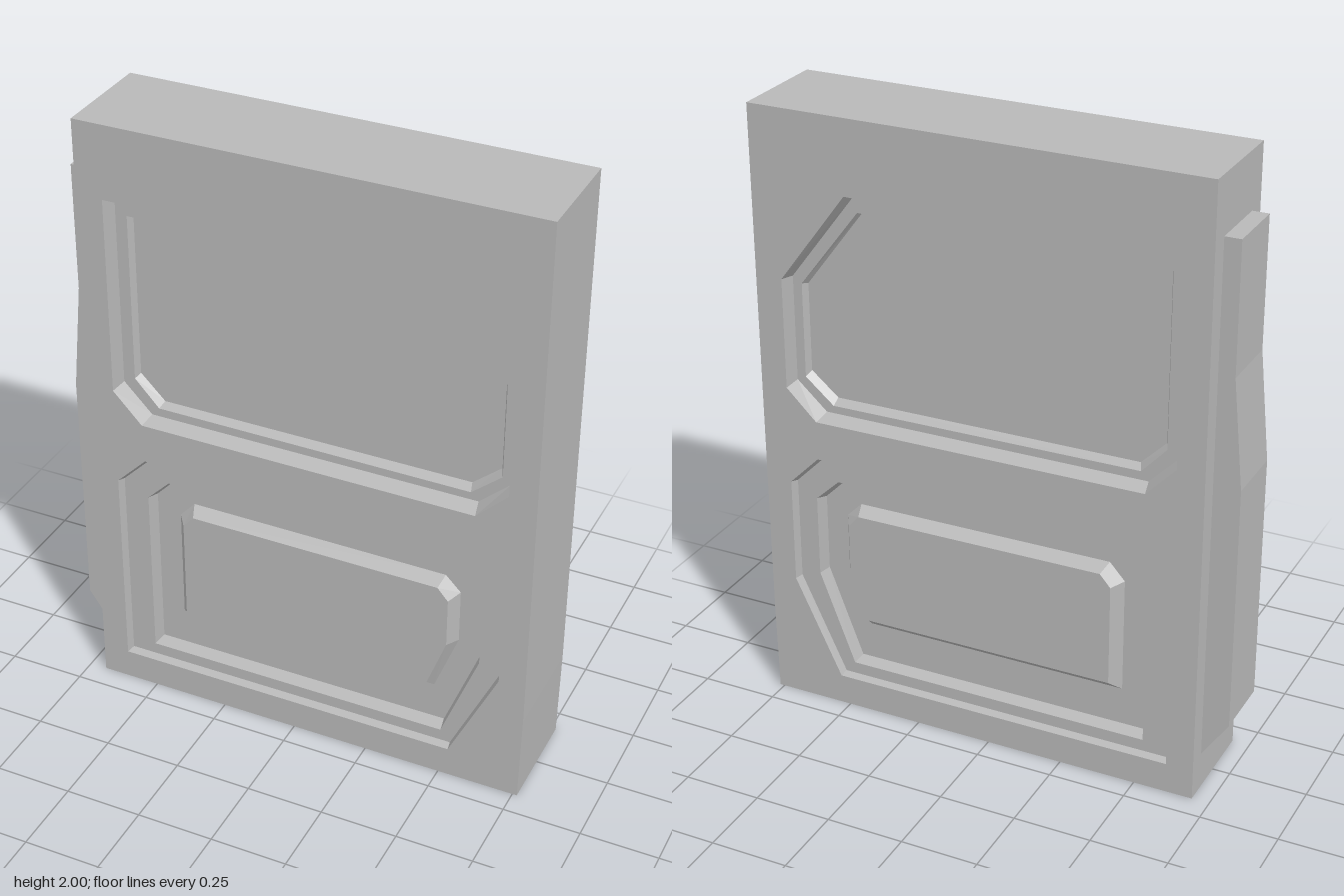
import * as THREE from 'three';

const HALF = 0.173; // half thickness of the door

// Triangles joining two outlines of equal length (corners run anticlockwise)
function band(a, za, b, zb) {
  const out = [];
  a.forEach((p, i) => {
    const j = (i + 1) % a.length;
    const A = [...p, za], B = [...a[j], za], C = [...b[j], zb], D = [...b[i], zb];
    out.push(A, B, C, A, C, D);
  });
  return out;
}

// Flat filled outline, with optional holes, facing +z
function cap(outline, z, holes = []) {
  const vec = (pts) => pts.map(([x, y]) => new THREE.Vector2(x, y));
  const all = [outline, ...holes].flat();
  const faces = THREE.ShapeUtils.triangulateShape(vec(outline), holes.map((h) => vec([...h].reverse())));
  const ordered = [outline, ...holes.map((h) => [...h].reverse())].flat();
  const out = [];
  for (const [i, j, k] of faces) {
    const [p, q, r] = [ordered[i], ordered[j], ordered[k]];
    const area = (q[0] - p[0]) * (r[1] - p[1]) - (q[1] - p[1]) * (r[0] - p[0]);
    for (const v of area > 0 ? [p, q, r] : [p, r, q]) out.push([...v, z]);
  }
  return all.length ? out : [];
}

// Nested outlines stepping in and out of the face: [depth, outline]
function steppedPanel(rings) {
  const out = [];
  for (let i = 1; i < rings.length; i++) {
    out.push(...band(rings[i - 1][1], HALF - rings[i - 1][0], rings[i][1], HALF - rings[i][0]));
  }
  const [depth, outline] = rings[rings.length - 1];
  out.push(...cap(outline, HALF - depth));
  return out;
}

// Mirror triangles to the back of the door
function toBack(tris) {
  const out = [];
  for (let i = 0; i < tris.length; i += 3) {
    for (const k of [0, 2, 1]) {
      const [x, y, z] = tris[i + k];
      out.push([x, y, -z]);
    }
  }
  return out;
}

function makeMesh(name, tris, material) {
  const geometry = new THREE.BufferGeometry();
  geometry.setAttribute('position', new THREE.Float32BufferAttribute(tris.flat(), 3));
  geometry.computeVertexNormals();
  const mesh = new THREE.Mesh(geometry, material);
  mesh.name = name;
  return mesh;
}

export function createModel() {
  const group = new THREE.Group();
  group.name = 'door';
  const grey = new THREE.MeshStandardMaterial({ color: 0xb8b8b8 });
  grey.name = 'grey';

  const slab = [[-0.693, 0], [0.765, 0], [0.77, 0.3], [0.775, 2], [-0.693, 2]];

  // Upper panel: two recesses, one inside the other
  const upper = [
    [0, [[-0.605, 1.11], [-0.51, 1.01], [0.585, 1.003], [0.685, 1.1], [0.685, 1.46], [0.46, 1.76], [-0.605, 1.76]]],
    [0.05, [[-0.593, 1.12], [-0.5, 1.025], [0.575, 1.02], [0.675, 1.11], [0.675, 1.455], [0.453, 1.748], [-0.593, 1.748]]],
    [0.05, [[-0.555, 1.14], [-0.475, 1.053], [0.55, 1.045], [0.645, 1.125], [0.645, 1.435], [0.445, 1.695], [-0.555, 1.695]]],
    [0.072, [[-0.545, 1.15], [-0.465, 1.07], [0.545, 1.065], [0.635, 1.14], [0.635, 1.43], [0.44, 1.688], [-0.545, 1.688]]],
  ];

  // Lower panel: two recesses around a raised, bevelled field
  const lower = [
    [0, [[-0.605, 0.1], [0.53, 0.1], [0.685, 0.425], [0.685, 0.775], [0.585, 0.875], [-0.505, 0.88], [-0.605, 0.78]]],
    [0.027, [[-0.597, 0.106], [0.526, 0.106], [0.677, 0.427], [0.677, 0.77], [0.58, 0.867], [-0.5, 0.872], [-0.597, 0.775]]],
    [0.027, [[-0.515, 0.145], [0.493, 0.145], [0.61, 0.45], [0.61, 0.72], [0.53, 0.795], [-0.44, 0.8], [-0.515, 0.725]]],
    [0.07, [[-0.505, 0.155], [0.487, 0.155], [0.6, 0.452], [0.6, 0.71], [0.525, 0.785], [-0.435, 0.79], [-0.505, 0.717]]],
    [0.07, [[-0.425, 0.28], [0.45, 0.28], [0.525, 0.48], [0.525, 0.66], [0.475, 0.71], [-0.375, 0.715], [-0.425, 0.66]]],
    [0.03, [[-0.395, 0.315], [0.44, 0.315], [0.5, 0.48], [0.5, 0.645], [0.465, 0.685], [-0.36, 0.69], [-0.395, 0.65]]],
  ];

  // Both faces carry the same panels
  const face = cap(slab, HALF, [upper[0][1], lower[0][1]]);
  const parts = { Face: face, UpperPanel: steppedPanel(upper), LowerPanel: steppedPanel(lower) };
  for (const [name, tris] of Object.entries(parts)) {
    group.add(makeMesh('front' + name, tris, grey));
    group.add(makeMesh('back' + name, toBack(tris), grey));
  }

  // Outer edges of the slab
  group.add(makeMesh('slabEdge', band(slab, -HALF, slab, HALF), grey));

  // Shaped strip along the right edge
  const profile = [[-0.68, 0.105], [-0.68, 1.815], [-0.745, 1.815], [-0.745, 1.4], [-0.778, 1.05], [-0.778, 0.25]];
  const strip = new THREE.ExtrudeGeometry(
    new THREE.Shape(profile.map(([x, y]) => new THREE.Vector2(x, y))),
    { depth: 0.214, bevelEnabled: false },
  );
  strip.translate(0, 0, -0.108);
  const stripMesh = new THREE.Mesh(strip, grey);
  stripMesh.name = 'edgeStrip';
  group.add(stripMesh);

  return group;
}
